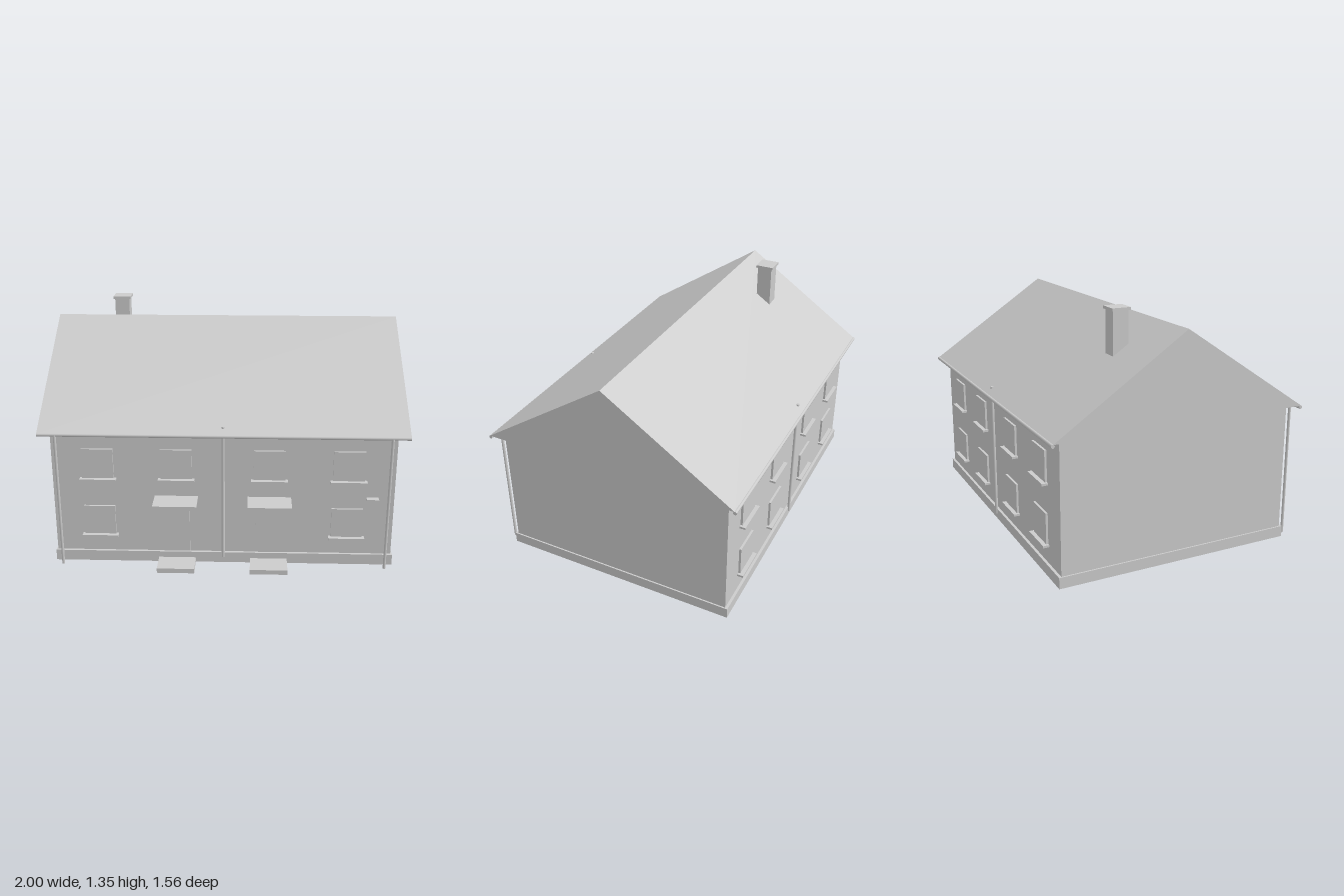
import * as THREE from 'three';

export function createModel() {
  const house = new THREE.Group();
  house.name = 'house';
  const grey = new THREE.MeshStandardMaterial({ color: 0xcccccc });
  grey.name = 'plain grey';

  const add = (name, geometry) => {
    const mesh = new THREE.Mesh(geometry, grey);
    mesh.name = name;
    house.add(mesh);
    return mesh;
  };
  // Box given by its limits on each axis
  const box = (name, x0, x1, y0, y1, z0, z1) => {
    add(name, new THREE.BoxGeometry(x1 - x0, y1 - y0, z1 - z0))
      .position.set((x0 + x1) / 2, (y0 + y1) / 2, (z0 + z1) / 2);
  };
  const pipe = (name, x, z, y0, y1, r) => {
    add(name, new THREE.CylinderGeometry(r, r, y1 - y0, 12)).position.set(x, (y0 + y1) / 2, z);
  };

  const front = 0.635, back = -0.71;

  // Plinth and walls
  box('plinth', -0.95, 0.95, 0.003, 0.065, -0.725, 0.65);
  box('walls', -0.942, 0.942, 0.065, 0.79, back, front);

  // Gabled roof with flat soffit
  const gable = new THREE.Shape([
    new THREE.Vector2(-0.69, 0.788),
    new THREE.Vector2(0.765, 0.788),
    new THREE.Vector2(0.038, 1.275),
  ]);
  const roof = new THREE.ExtrudeGeometry(gable, { depth: 2, bevelEnabled: false });
  roof.translate(0, 0, -1);
  roof.rotateY(Math.PI / 2);
  add('roof', roof);

  // Gutters along both eaves
  for (const [name, z] of [['frontGutter', 0.686], ['backGutter', -0.766]]) {
    const gutter = new THREE.CylinderGeometry(0.01, 0.01, 2, 12);
    gutter.rotateZ(Math.PI / 2);
    add(name, gutter).position.set(0, 0.78, z);
  }

  // Downpipes
  pipe('frontDownpipe', 0, 0.646, 0.037, 0.822, 0.009);
  pipe('backDownpipe', 0, -0.727, 0.037, 0.822, 0.009);
  for (const x of [-0.903, 0.903]) pipe('cornerDownpipe', x, 0.69, 0.003, 0.78, 0.008);

  // Windows with sills; the front ground floor has only the outer pair
  const addWindow = (x, y, side) => {
    const wall = side > 0 ? front : back;
    const span = (d) => [Math.min(wall, wall + side * d), Math.max(wall, wall + side * d)];
    box('window', x - 0.087, x + 0.087, y, y + 0.17, ...span(0.012));
    box('windowSill', x - 0.1, x + 0.1, y - 0.013, y - 0.001, ...span(0.034));
  };
  for (const side of [1, -1]) {
    for (const x of [-0.69, -0.258, 0.254, 0.687]) {
      addWindow(x, 0.513, side);
      if (side < 0 || Math.abs(x) > 0.5) addWindow(x, 0.173, side);
    }
  }

  // Doors, canopies and steps
  for (const x of [-0.26, 0.255]) {
    box('door', x - 0.073, x + 0.073, 0.07, 0.365, front, front + 0.012);
    box('doorCanopy', x - 0.12, x + 0.12, 0.397, 0.406, front, 0.775);
    box('doorStep', x - 0.104, x + 0.104, 0.003, 0.03, 0.65, 0.78);
  }

  // Small ledge beside the right-hand windows
  box('wallLedge', 0.788, 0.855, 0.403, 0.412, front, 0.67);

  // Chimney
  box('chimney', -0.695, -0.608, 1.0, 1.335, -0.3, -0.212);
  box('chimneyCap', -0.704, -0.599, 1.335, 1.35, -0.309, -0.203);

  return house;
}
